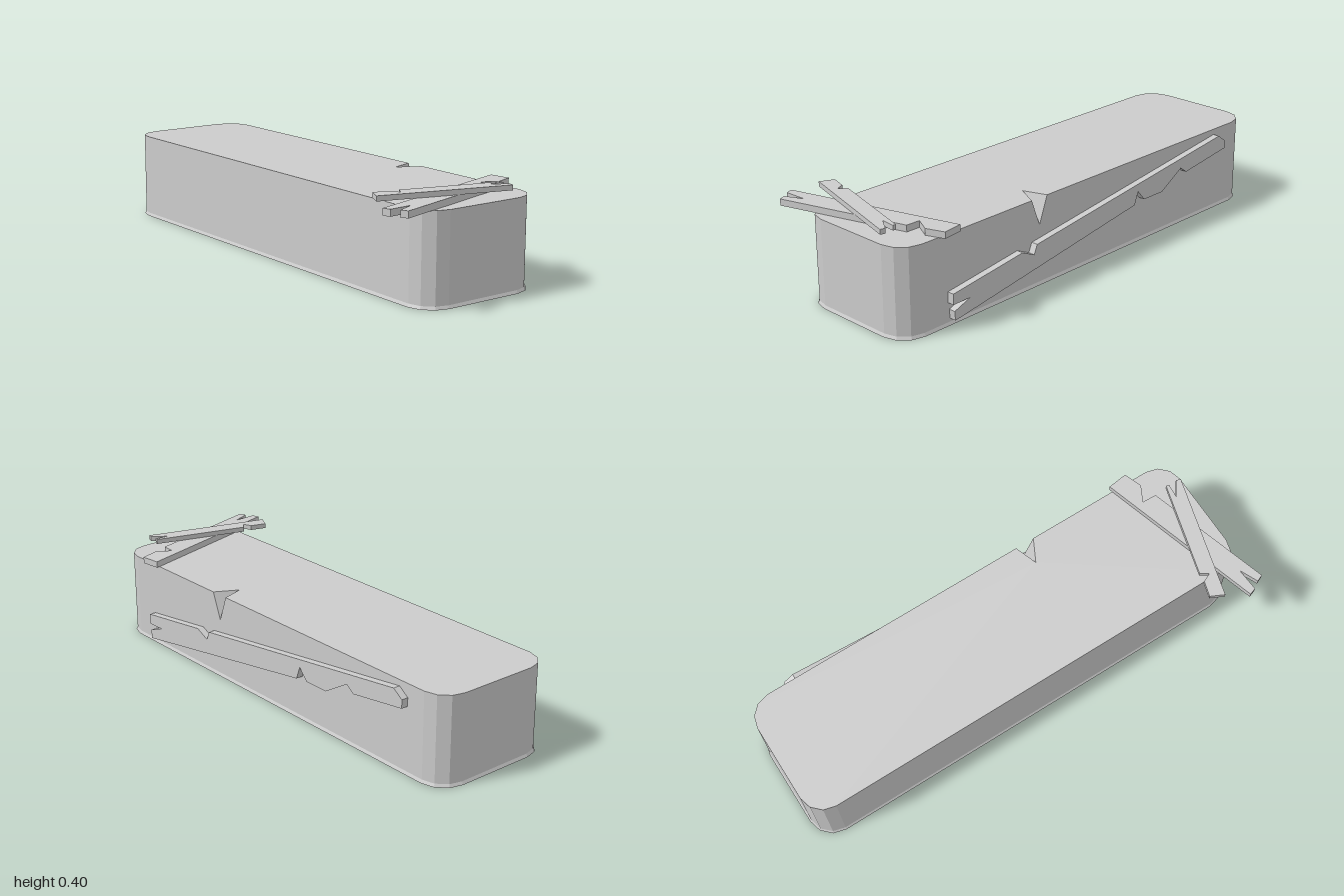
import * as THREE from 'three';

const material = new THREE.MeshStandardMaterial({ color: 0xcccccc, side: THREE.DoubleSide });
const TOP = 0.354, RIM = 0.012, SIDE = 0.323;

// Rounded rectangle seen from above, counterclockwise, first edge lies along the back right corner
function outline(y, grow) {
  const r = 0.1, x0 = -0.203, x1 = SIDE, z0 = -0.994, z1 = 0.98;
  const centres = [[x1 - r, z0 + r], [x0 + r, z0 + r], [x0 + r, z1 - r], [x1 - r, z1 - r]];
  const points = [];
  centres.forEach(([cx, cz], corner) => {
    for (let i = 0; i <= 3; i++) {
      const a = (corner + i / 3) * Math.PI / 2;
      points.push(new THREE.Vector3(cx + (r + grow) * Math.cos(a), y, cz - (r + grow) * Math.sin(a)));
    }
  });
  return points;
}

// Mesh with flat faces, each given as a fan of corners around its first one
function fans(name, faces) {
  const corners = [];
  for (const f of faces)
    for (let i = 1; i < f.length - 1; i++) corners.push(f[0], f[i], f[i + 1]);
  const geometry = new THREE.BufferGeometry().setFromPoints(corners);
  geometry.computeVertexNormals();
  const mesh = new THREE.Mesh(geometry, material);
  mesh.name = name;
  return mesh;
}

// Quads between two loops; the last (closing) edge is the right side
function band(lower, upper) {
  return lower.map((p, i) => {
    const j = (i + 1) % lower.length;
    return [p, lower[j], upper[j], upper[i]];
  });
}

// Open-bottomed block with a chipped top edge on the right
function createBlock() {
  const group = new THREE.Group();
  group.name = 'block';
  const base = outline(0, 0.006), low = outline(RIM, 0), high = outline(TOP, 0);
  const last = high.length - 1;

  // Corners of the chip: front, back, bottom and inner point
  const front = new THREE.Vector3(SIDE, TOP, 0.332);
  const back = new THREE.Vector3(SIDE, TOP, 0.25);
  const bottom = new THREE.Vector3(SIDE, 0.246, 0.29);
  const inner = new THREE.Vector3(0.229, TOP, 0.283);

  const walls = band(low, high).slice(0, last);
  walls.push([bottom, front, high[last], low[last], low[0], high[0], back]);
  group.add(
    fans('baseFlare', band(base, low)),
    fans('walls', walls),
    fans('top', [[inner, back, ...high, front]]),
    fans('chip', [[inner, front, bottom], [inner, bottom, back]])
  );
  return group;
}

// Splintered plank cut from a flat outline
function plank(name, points, thickness) {
  const shape = new THREE.Shape(points.map(([a, b]) => new THREE.Vector2(a, b)));
  const geometry = new THREE.ExtrudeGeometry(shape, { depth: thickness, bevelEnabled: false });
  const mesh = new THREE.Mesh(geometry, material);
  mesh.name = name;
  return mesh;
}

// Plank lying flat, outline given as x, z
function flatPlank(name, points, y, thickness) {
  const mesh = plank(name, points.map(([x, z]) => [x, -z]), thickness);
  mesh.rotation.x = -Math.PI / 2;
  mesh.position.y = y;
  return mesh;
}

// Plank fixed to the right side, outline given as z, y
function sidePlank(name, points, x, thickness) {
  const mesh = plank(name, points.map(([z, y]) => [-z, y]), thickness);
  mesh.rotation.y = Math.PI / 2;
  mesh.position.x = x;
  return mesh;
}

export function createModel() {
  const model = new THREE.Group();
  model.name = 'plankedBlock';
  model.add(createBlock());

  model.add(flatPlank('lowerPlank', [
    [0.338, 0.71], [0.349, 0.793], [0.275, 0.82], [0.209, 0.786], [0.207, 0.845],
    [-0.31, 1.0], [-0.322, 0.972], [-0.246, 0.938], [-0.342, 0.944], [-0.352, 0.915]
  ], TOP, 0.026));

  model.add(flatPlank('upperPlank', [
    [-0.278, 0.767], [-0.213, 0.786], [-0.197, 0.823], [-0.176, 0.79], [0.21, 0.897],
    [0.209, 0.91], [0.15, 0.905], [0.21, 0.945], [0.204, 0.965], [-0.305, 0.823]
  ], 0.38, 0.02));

  model.add(sidePlank('sidePlank', [
    [0.763, 0.132], [0.41, 0.178], [0.348, 0.15], [0.332, 0.187], [-0.77, 0.33],
    [-0.813, 0.3], [-0.813, 0.266], [-0.556, 0.23], [-0.52, 0.256], [-0.402, 0.186],
    [-0.29, 0.186], [-0.25, 0.23], [-0.23, 0.178], [0.755, 0.025], [0.758, 0.062],
    [0.68, 0.091], [0.763, 0.089]
  ], SIDE, 0.028));

  return model;
}
